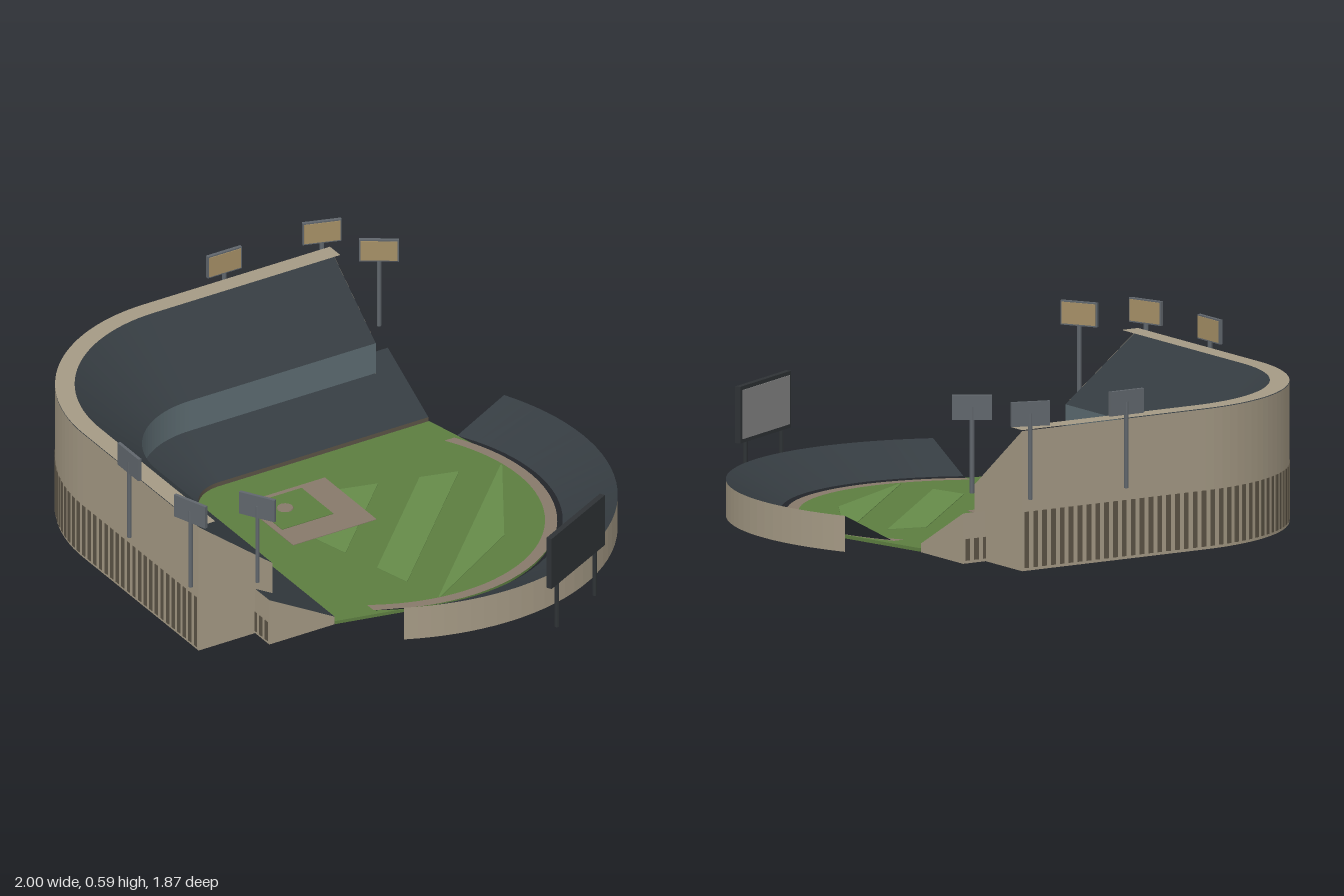
import * as THREE from 'three';

const mat = (color) => new THREE.MeshStandardMaterial({ color, side: THREE.DoubleSide, flatShading: true });
const M = {
  wall: mat(0xa59a85), slot: mat(0x5c5446), seat: mat(0x353c41), glass: mat(0x5d6c72),
  grass: mat(0x5c7d40), stripe: mat(0x668b49), dirt: mat(0x87796a),
  metal: mat(0x60666c), dark: mat(0x2e3235), lamp: mat(0xa58f66), screen: mat(0x858585),
};
const add = (parent, name, geo, material) => {
  const m = new THREE.Mesh(geo, material);
  m.name = name;
  parent.add(m);
  return m;
};
const box = (parent, name, size, pos, material) => {
  const m = add(parent, name, new THREE.BoxGeometry(...size), material);
  m.position.set(...pos);
  return m;
};

// Bowl path in plan: straight arm, quarter bend, straight arm, at offset r
function bowlPoint(s, r, L, bendR = r) {
  const bend = bendR * Math.PI / 2;
  if (s < L) return { x: L - s, z: r, a: 0 };
  if (s > L + bend) return { x: -r, z: -(s - L - bend), a: Math.PI / 2 };
  const a = (s - L) / bendR;
  return { x: -r * Math.sin(a), z: r * Math.cos(a), a };
}
function bowlLine(r, L, n = 28) {
  const pts = [[L, r]];
  for (let i = 0; i <= n; i++) {
    const a = i / n * Math.PI / 2;
    pts.push([-r * Math.sin(a), r * Math.cos(a)]);
  }
  pts.push([-r, -L]);
  return pts;
}

// Outfield curve in plan, over angles t0..t1
function fenceLine(r0, bulge, t0 = 0, t1 = Math.PI / 2, n = 40) {
  const pts = [];
  for (let i = 0; i <= n; i++) {
    const t = t0 + (t1 - t0) * i / n, r = r0 + bulge * Math.sin(2 * t);
    pts.push([r * Math.cos(t), -r * Math.sin(t)]);
  }
  return pts;
}

// Sheet between two plan lines at two heights
function ribbon(a, ya, b, yb) {
  const pos = [], idx = [];
  a.forEach((p, i) => {
    pos.push(p[0], ya, p[1], b[i][0], yb, b[i][1]);
    const k = i * 2;
    if (i) idx.push(k - 2, k - 1, k, k - 1, k + 1, k);
  });
  const g = new THREE.BufferGeometry();
  g.setAttribute('position', new THREE.Float32BufferAttribute(pos, 3));
  g.setIndex(idx);
  g.computeVertexNormals();
  return g;
}

// Flat plan area with its top at height y
function area(pts, y, depth = 0.002) {
  const shape = new THREE.Shape(pts.map(([x, z]) => new THREE.Vector2(x, -z)));
  return new THREE.ExtrudeGeometry(shape, { depth, bevelEnabled: false })
    .rotateX(-Math.PI / 2).translate(0, y - depth, 0);
}

// Profile (r, y) swept round the bowl, closed by end caps
function deck(parent, name, L, strips, cap) {
  const g = new THREE.Group();
  g.name = name;
  for (const [part, r0, y0, r1, y1, m] of strips)
    add(g, part, ribbon(bowlLine(r0, L), y0, bowlLine(r1, L), y1), m);
  const geo = new THREE.ShapeGeometry(new THREE.Shape(cap.map(([r, y]) => new THREE.Vector2(r, y))));
  const right = add(g, 'endWall', geo, M.wall);
  right.rotation.y = -Math.PI / 2;
  right.position.x = L;
  const left = add(g, 'endWall', geo, M.wall);
  left.rotation.y = Math.PI;
  left.position.z = -L;
  parent.add(g);
}

function wallSlots(parent, r, L, y0, y1, keep) {
  const total = 2 * L + r * Math.PI / 2, n = Math.round(total / 0.036);
  for (let i = 0; i < n; i++) {
    const s = (i + 0.5) * total / n;
    if (Math.min(s, total - s) > keep) continue;
    const p = bowlPoint(s, r, L);
    box(parent, 'wallSlot', [0.018, y1 - y0, 0.005], [p.x, (y0 + y1) / 2, p.z], M.slot).rotation.y = -p.a;
  }
}

function lightTower(parent, x, z, dx, dz) {
  const g = new THREE.Group();
  g.name = 'lightTower';
  let a = Math.atan2(-dz, dx);
  if (Math.sin(a) * (0.05 - x) + Math.cos(a) * (-0.1 - z) < 0) a += Math.PI;
  const pole = add(g, 'lightPole', new THREE.CylinderGeometry(0.008, 0.008, 0.3, 8), M.metal);
  pole.position.y = 0.4;
  box(g, 'lightFrame', [0.137, 0.085, 0.012], [0, 0.548, 0], M.metal);
  box(g, 'lampPanel', [0.127, 0.075, 0.003], [0, 0.548, 0.007], M.lamp);
  g.position.set(x, 0, z);
  g.rotation.y = a;
  parent.add(g);
}

export function createModel() {
  const model = new THREE.Group();
  model.name = 'ballpark';

  // Everything laid out from home plate, turned with the foul lines
  const park = new THREE.Group();
  park.name = 'park';
  park.position.set(-0.363, 0, 0.1);
  park.rotation.y = -Math.PI / 12;
  model.add(park);

  // Playing field
  const rad = Math.PI / 180;
  add(park, 'field', area([...bowlLine(0.147, 0.845).reverse(),
    ...fenceLine(0.845, 0.24, 15 * rad, 75 * rad)], 0.014, 0.012), M.grass);
  add(park, 'warningTrack', ribbon(fenceLine(0.815, 0.235), 0.018, fenceLine(0.855, 0.237), 0.018), M.dirt);
  for (const d of [0.3, 0.55, 0.8]) {
    const at = (dist, deg) => {
      const r = Math.min(dist / Math.cos(30 * rad), 0.93), t = (45 + deg) * rad;
      return [r * Math.cos(t), -r * Math.sin(t)];
    };
    const far = d + 0.122;
    const mid = Math.min(far, 1.04);
    add(park, 'mownStripe', area([at(d, -30), at(far, -30),
      [mid * Math.SQRT1_2, -mid * Math.SQRT1_2], at(far, 30), at(d, 30)], 0.0165), M.stripe);
  }
  const square = (a, b) => [[a, -a], [b, -a], [b, -b], [a, -b]];
  add(park, 'infieldDirt', area(square(0, 0.335), 0.019), M.dirt);
  add(park, 'infieldGrass', area(square(0.022, 0.228), 0.0215), M.grass);
  const mound = add(park, 'mound', new THREE.CylinderGeometry(0.027, 0.03, 0.006, 24), M.dirt);
  mound.position.set(0.11, 0.022, -0.107);

  // Lower and upper seating bowl
  deck(park, 'lowerDeck', 0.842, [
    ['fieldWall', 0.147, 0, 0.147, 0.03, M.slot],
    ['lowerSeats', 0.147, 0.03, 0.41, 0.175, M.seat],
    ['lowerBackWall', 0.41, 0, 0.41, 0.175, M.wall],
  ], [[0.147, 0], [0.41, 0], [0.41, 0.175], [0.147, 0.03]]);
  deck(park, 'upperDeck', 0.75, [
    ['glassBand', 0.34, 0.137, 0.34, 0.255, M.glass],
    ['upperSeats', 0.34, 0.255, 0.637, 0.485, M.seat],
    ['outerWall', 0.637, 0, 0.637, 0.487, M.wall],
    ['rim', 0.57, 0.49, 0.637, 0.49, M.wall],
  ], [[0.34, 0], [0.637, 0], [0.637, 0.487], [0.34, 0.255]]);
  wallSlots(park, 0.637, 0.75, 0.01, 0.205, 9);
  wallSlots(park, 0.41, 0.842, 0.01, 0.085, 0.09);

  // Outfield stand
  const inner = fenceLine(0.866, 0.245), outer = fenceLine(1.055, 0.245);
  add(park, 'outfieldSeats', ribbon(inner, 0.022, outer, 0.125), M.seat);
  add(park, 'outfieldWall', ribbon(outer, 0, outer, 0.125), M.wall);

  // Scoreboard, screen towards the field
  const board = new THREE.Group();
  board.name = 'scoreboard';
  board.position.set(0.948, 0, -0.172);
  board.rotation.y = -Math.PI / 2 + 0.21;
  box(board, 'boardCase', [0.352, 0.197, 0.02], [0, 0.273, 0], M.dark);
  box(board, 'boardScreen', [0.325, 0.17, 0.004], [0, 0.273, 0.011], M.screen);
  for (const s of [-1, 1]) {
    const post = add(board, 'boardPost', new THREE.CylinderGeometry(0.008, 0.008, 0.18, 8), M.dark);
    post.position.set(s * 0.125, 0.09, 0);
  }
  model.add(board);

  // Light towers: position and panel direction
  for (const t of [[-0.807, -0.773, 0.075, -0.115], [-0.578, -0.815, 0.1, -0.09], [-0.908, -0.393, 0.035, -0.13],
    [-0.21, 0.822, 0.13, 0.035], [0.174, 0.925, 0.13, -0.01], [0.318, 0.745, 0.135, -0.04]])
    lightTower(model, ...t);

  return model;
}
